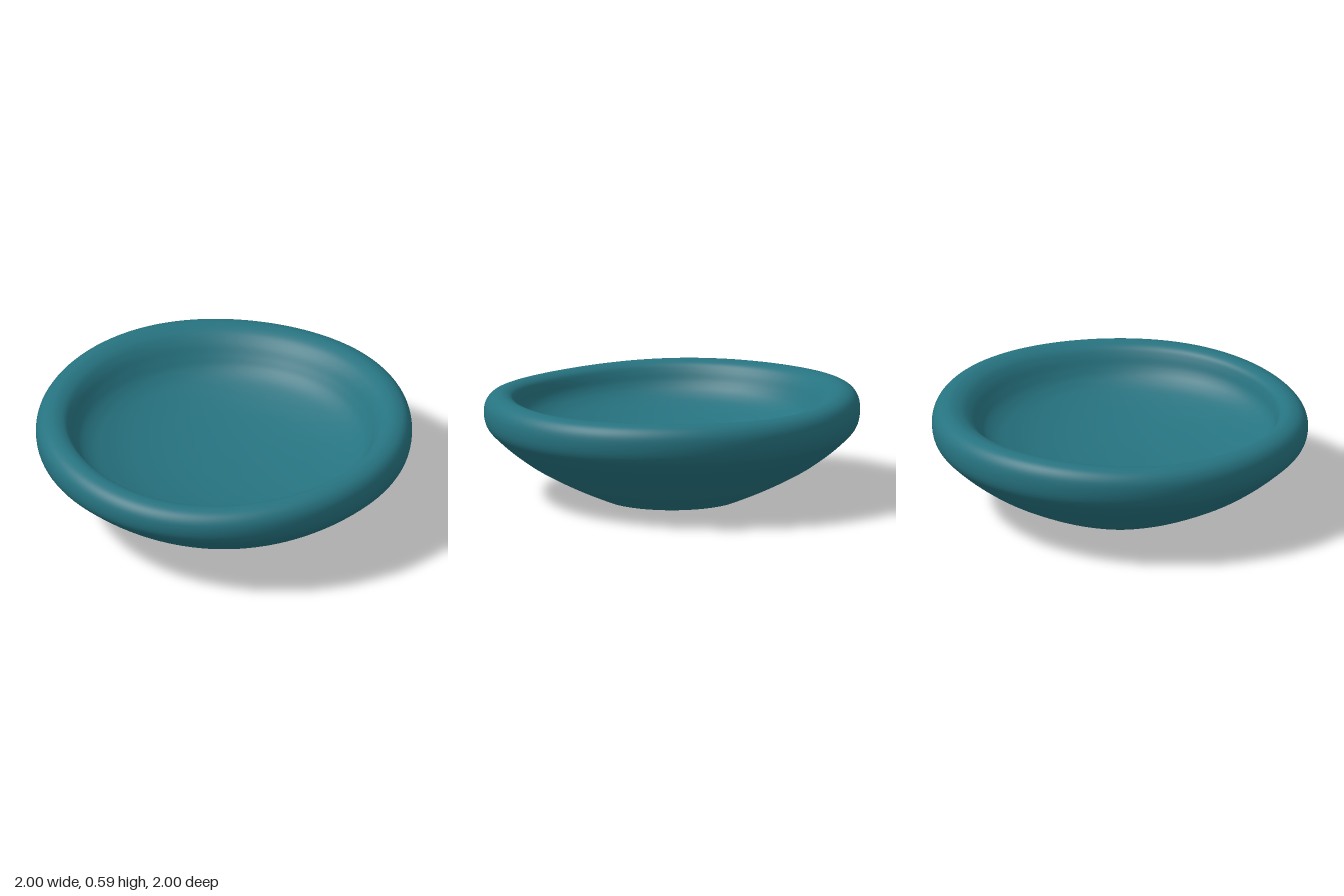
import * as THREE from 'three';
import { mergeVertices } from 'three/addons/utils/BufferGeometryUtils.js';

const SEGMENTS = 112;
const { smoothstep } = THREE.MathUtils;

export function createModel() {
  const bowl = new THREE.Group();
  bowl.name = 'bowl';
  const glaze = new THREE.MeshStandardMaterial({ color: 0x267380 });
  glaze.name = 'teal glaze';

  const points = (list) => list.map(([r, y]) => new THREE.Vector2(r, y));

  const addPart = (name, geometry) => {
    const mesh = new THREE.Mesh(geometry, glaze);
    mesh.name = name;
    bowl.add(mesh);
  };

  // One continuous wall: outside, rounded rim, inner wall and dished floor
  const wall = new THREE.SplineCurve(points([
    [0.37, 0], [0.5, 0.056], [0.62, 0.115], [0.74, 0.182], [0.85, 0.26], [0.94, 0.338],
    [0.985, 0.39], [1.0, 0.45], [0.993, 0.51], [0.96, 0.552], [0.905, 0.567],
    [0.85, 0.55], [0.815, 0.51], [0.785, 0.455], [0.745, 0.405], [0.67, 0.358],
    [0.52, 0.306], [0.34, 0.27], [0.15, 0.252], [0, 0.25],
  ]));
  const profile = wall.getPoints(95);
  profile[profile.length - 1].x = 0;
  let wallGeometry = new THREE.LatheGeometry(profile, SEGMENTS);

  // Hand-thrown unevenness: the lip waves gently and the hollow sits slightly off centre
  const p = wallGeometry.attributes.position;
  for (let i = 0; i < p.count; i++) {
    const x = p.getX(i), y = p.getY(i), z = p.getZ(i);
    const a = Math.atan2(z, x);
    const wave = 0.01 * Math.cos(a) - 0.0115 * Math.sin(a)
      - 0.003 * Math.cos(2 * a) + 0.0075 * Math.sin(2 * a) + 0.005 * Math.cos(4 * a);
    const along = (i % profile.length) / (profile.length - 1);
    const hollow = smoothstep(along, 10 / 19, 13.5 / 19);
    p.setXYZ(i, x - 0.024 * hollow, y + wave * smoothstep(y, 0.3, 0.56), z + 0.03 * hollow);
  }

  // Weld the lathe seam so the shading stays smooth
  wallGeometry.deleteAttribute('uv');
  wallGeometry.deleteAttribute('normal');
  wallGeometry = mergeVertices(wallGeometry, 1e-5);
  wallGeometry.computeVertexNormals();
  addPart('bowlWall', wallGeometry);

  // Foot ring with its shallow, slightly domed recess, kept separate for crisp edges
  const footParts = {
    footRing: [[0.28, 0], [0.37, 0]],
    footRecessWall: [[0.28, 0.035], [0.28, 0]],
    footRecessBase: [[0, 0.048], [0.15, 0.045], [0.28, 0.035]],
  };
  for (const [name, list] of Object.entries(footParts)) {
    addPart(name, new THREE.LatheGeometry(points(list), SEGMENTS));
  }

  return bowl;
}
